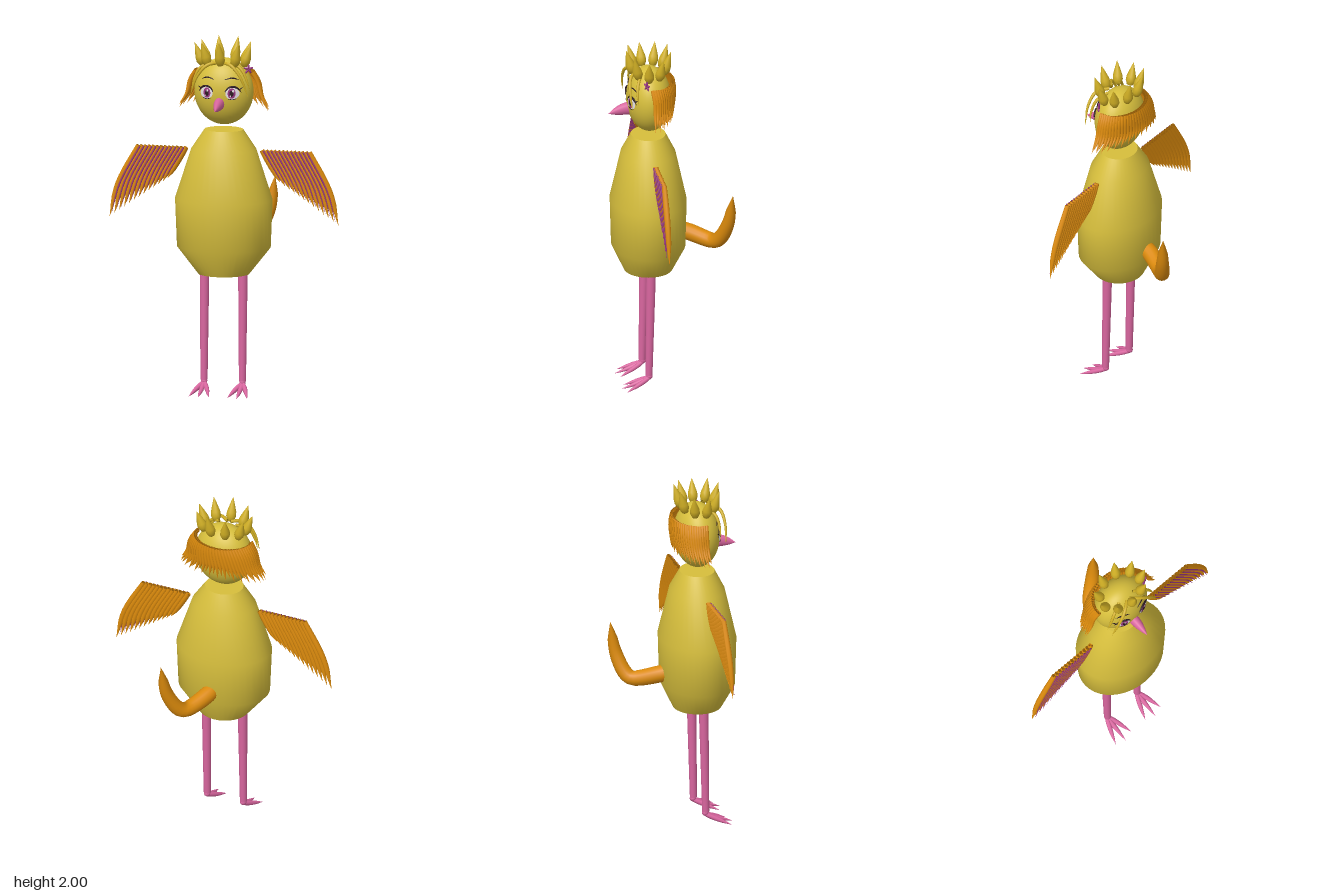
import * as THREE from 'three';
import { toCreasedNormals } from 'three/addons/utils/BufferGeometryUtils.js';

const V = (x, y, z) => new THREE.Vector3(x, y, z);
const material = (name, color, side = THREE.FrontSide) => {
  const m = new THREE.MeshStandardMaterial({ color, side });
  m.name = name;
  return m;
};

// Tube through points whose radius follows a list; its start is closed
function taperedTube(points, radii, segments = 12, sides = 8) {
  const curve = new THREE.CatmullRomCurve3(points, false, 'centripetal');
  const geo = new THREE.TubeGeometry(curve, segments, 1, sides, false);
  const pos = geo.attributes.position, v = V(0, 0, 0);
  for (let i = 0; i <= segments; i++) {
    const t = Math.max(0, (i - 1) / (segments - 1));
    const from = curve.getPointAt(i / segments), to = curve.getPointAt(t);
    const f = t * (radii.length - 1), k = Math.min(Math.floor(f), radii.length - 2);
    const r = i === 0 ? 0 : THREE.MathUtils.lerp(radii[k], radii[k + 1], f - k);
    for (let j = 0; j <= sides; j++) {
      const n = i * (sides + 1) + j;
      v.fromBufferAttribute(pos, n).sub(from).multiplyScalar(r).add(to);
      pos.setXYZ(n, v.x, v.y, v.z);
    }
  }
  return geo;
}

// Front surface of the egg-shaped head
const HEAD = { y: 1.705, z: 0.112, rx: 0.166, ry: 0.187, rz: 0.124 };
const faceZ = (x, y) => HEAD.z + HEAD.rz *
  Math.sqrt(Math.max(0, 1 - (x / HEAD.rx) ** 2 - ((y - HEAD.y) / HEAD.ry) ** 2));

export function createModel() {
  const model = new THREE.Group();
  const yellow = material('yellow plumage', 0xd6be3c);
  const gold = material('golden crest', 0xcfae24);
  const orange = material('orange feathers', 0xdb8a0c);
  const pink = material('pink skin', 0xd9669f);
  const purple = material('purple accents', 0x98377f);
  const white = material('eye white', 0xf4eef2);
  const dark = material('dark lines', 0x2b1a20);

  const add = (name, geo, mat, parent = model) => {
    const mesh = new THREE.Mesh(geo, mat);
    mesh.name = name;
    parent.add(mesh);
    return mesh;
  };
  const group = (name, parent = model) => {
    const g = new THREE.Group();
    g.name = name;
    parent.add(g);
    return g;
  };

  // Body: rings of radius, height and depth ratio
  const rings = [[0, 0.68, 1], [0.143, 0.68, 0.95], [0.262, 0.83, 0.78], [0.273, 1.1, 0.775],
    [0.182, 1.38, 0.83], [0.108, 1.49, 0.89], [0, 1.49, 1]];
  const bodyGeo = new THREE.LatheGeometry(rings.map(([r, y]) => new THREE.Vector2(r, y)), 40);
  const bp = bodyGeo.attributes.position;
  for (let i = 0; i < bp.count; i++) bp.setZ(i, bp.getZ(i) * rings[i % rings.length][2]);
  add('body', toCreasedNormals(bodyGeo, 0.75), yellow).position.z = 0.115;

  // Head
  const head = add('head', new THREE.SphereGeometry(1, 40, 28), yellow);
  head.scale.set(HEAD.rx, HEAD.ry, HEAD.rz);
  head.position.set(0, HEAD.y, HEAD.z);

  // Beak
  add('beak', taperedTube([V(0, 1.652, 0.2), V(0, 1.648, 0.25), V(0, 1.625, 0.34)],
    [0.034, 0.036, 0.03, 0.018, 0], 14, 16), pink).scale.x = 0.8;

  // Crown of teardrop feathers
  const crown = group('crown');
  const spikeGeo = new THREE.LatheGeometry(
    [[0, 0], [0.018, 0.008], [0.028, 0.035], [0.026, 0.06], [0.013, 0.105], [0, 0.145]]
      .map(([x, y]) => new THREE.Vector2(x, y)), 12);
  for (let i = 0; i < 9; i++) {
    const a = i / 9 * Math.PI * 2, s = Math.sin(a), c = Math.cos(a);
    const base = V(s * 0.115, 1.857 - 0.012 * s * s, 0.115 + c * 0.085);
    const tip = V(s * 0.163, 2 - 0.025 * s * s, 0.115 + c * 0.125);
    const spike = add('crownFeather', spikeGeo, gold, crown);
    spike.position.copy(base);
    spike.scale.y = base.distanceTo(tip) / 0.145;
    spike.quaternion.setFromUnitVectors(V(0, 1, 0), tip.sub(base).normalize());
  }

  // Row of hair feathers around the back of the head
  const hair = group('backHair');
  for (let i = 0; i < 34; i++) {
    const a = -0.1 + i / 33 * (Math.PI + 0.2), c = Math.cos(a), s = Math.sin(a);
    const x = 0.165 * c, z = 0.105 - 0.125 * s;
    const lean = -0.03 * Math.max(0, s), drop = 0.02 * (i % 2);
    add('hairFeather', taperedTube([V(x * 0.97, 1.815, z), V(x * 1.17 + lean * 0.4, 1.76, z - 0.008),
      V(x * 1.3 + lean, 1.68, z - 0.006), V(x * 1.55 + lean, 1.6 + drop + 0.02 * s, z)],
    [0.012, 0.013, 0.012, 0.008, 0], 10, 7), orange, hair);
  }

  // Face details and fringe, mirrored
  const disc = (name, x, y, rx, ry, lift, mat, parent) => {
    const geo = new THREE.RingGeometry(0, 1, 28, 4);
    const p = geo.attributes.position;
    for (let i = 0; i < p.count; i++) {
      const px = x + p.getX(i) * rx, py = y + p.getY(i) * ry;
      p.setXYZ(i, px, py, faceZ(px, py) + lift);
    }
    geo.computeVertexNormals();
    add(name, geo, mat, parent);
  };
  const line = (name, pts, radius, mat, parent) => add(name, taperedTube(
    pts.map(([x, y]) => V(x, y, faceZ(x, y) + 0.004)), [radius * 0.4, radius, radius, 0], 12, 6), mat, parent);

  for (const side of [1, -1]) {
    const label = side > 0 ? 'left' : 'right';
    const eye = group(label + 'Eye');
    const ex = side * 0.073;
    disc('eyeWhite', ex, 1.711, 0.037, 0.033, 0.003, white, eye);
    disc('iris', ex - side * 0.003, 1.712, 0.021, 0.029, 0.005, purple, eye);
    disc('pupil', ex - side * 0.003, 1.711, 0.011, 0.017, 0.0065, dark, eye);
    disc('highlight', ex + 0.006, 1.725, 0.006, 0.007, 0.008, white, eye);
    disc('lowerHighlight', ex - 0.008, 1.697, 0.004, 0.005, 0.008, white, eye);
    line('upperLash', [[0.034, 1.72], [0.05, 1.742], [0.08, 1.749], [0.105, 1.736], [0.122, 1.712]]
      .map(([x, y]) => [side * x, y]), 0.006, dark, eye);
    line('lowerLash', [[0.05, 1.682], [0.075, 1.677], [0.1, 1.686]]
      .map(([x, y]) => [side * x, y]), 0.0025, dark, eye);
    line('outerLash', [[0.108, 1.732], [0.118, 1.738], [0.126, 1.744]]
      .map(([x, y]) => [side * x, y]), 0.003, dark, eye);
    line('eyebrow', [[0.03, 1.787], [0.07, 1.796], [0.11, 1.783]]
      .map(([x, y]) => [side * x, y]), 0.0035, dark, eye);

    const fringe = group(label + 'Fringe');
    add('longLock', taperedTube([V(side * 0.01, 1.875, 0.18), V(side * 0.07, 1.865, 0.225),
      V(side * 0.125, 1.8, 0.238), V(side * 0.165, 1.69, 0.23)],
    [0.009, 0.01, 0.008, 0.006, 0], 16, 8), gold, fringe);
    add('sideLock', taperedTube([V(side * 0.05, 1.875, 0.16), V(side * 0.115, 1.845, 0.19),
      V(side * 0.15, 1.78, 0.2), V(side * 0.166, 1.72, 0.195)],
    [0.008, 0.009, 0.007, 0], 14, 8), gold, fringe);

    // Wing: a fan of feathers with thin accents on the front
    const wing = group(label + 'Wing');
    const count = 13;
    for (let i = 0; i < count; i++) {
      const feather = (t, z, trim) => {
        const top = V(side * (0.215 + 0.27 * t), 1.378, z);
        const tip = V(side * (0.32 + 0.33 * t), 1.2 - 0.23 * t + trim, z);
        const mid = top.clone().lerp(tip, 0.55);
        mid.x += side * 0.027 * t;
        return [top, mid, tip];
      };
      const t = i / (count - 1);
      add('wingFeather', taperedTube(feather(t, 0.111, 0), [0.014, 0.017, 0.017, 0.014, 0], 12, 8), orange, wing);
      if (i < count - 1) {
        add('wingAccent', taperedTube(feather(t + 0.5 / (count - 1), 0.123, 0.01),
          [0.005, 0.006, 0.006, 0.004, 0], 10, 6), purple, wing);
      }
    }

    // Leg and three-toed foot
    const leg = group(label + 'Leg');
    const shin = add('shin', new THREE.CylinderGeometry(0.027, 0.02, 0.62, 16), pink, leg);
    shin.position.set(side * 0.109, 0.39, 0.124);
    shin.rotation.x = -0.02;
    add('ankle', new THREE.SphereGeometry(0.018, 14, 10), pink, leg).position.set(side * 0.109, 0.073, 0.127);
    for (const spread of [-1, 0, 1]) {
      const x = side * 0.109;
      add('toe', taperedTube([V(x, 0.068, 0.12), V(x + spread * 0.03, 0.037, 0.19),
        V(x + spread * 0.057, 0.005, spread ? 0.265 : 0.285)],
      [0.01, 0.014, 0.013, 0.008, 0], 10, 8), pink, leg);
    }
  }

  // Hair clip
  const clip = group('hairClip');
  clip.position.set(0.147, 1.838, 0.148);
  clip.rotation.y = 0.5;
  for (let i = 0; i < 5; i++) {
    const petal = add('clipPetal', new THREE.SphereGeometry(0.012, 10, 8), purple, clip);
    const a = i / 5 * Math.PI * 2 + 0.3;
    petal.scale.set(1.3, 0.5, 0.5);
    petal.position.set(Math.cos(a) * 0.013, Math.sin(a) * 0.013, 0);
    petal.rotation.z = a;
  }

  // Upturned tail
  add('tail', taperedTube([V(0, 0.9, -0.04), V(0.01, 0.888, -0.1), V(0.085, 0.853, -0.235), V(0.115, 0.875, -0.265),
    V(0.165, 0.985, -0.305), V(0.19, 1.16, -0.328)],
  [0.048, 0.047, 0.044, 0.041, 0.037, 0.028, 0], 24, 16), orange);

  return model;
}
